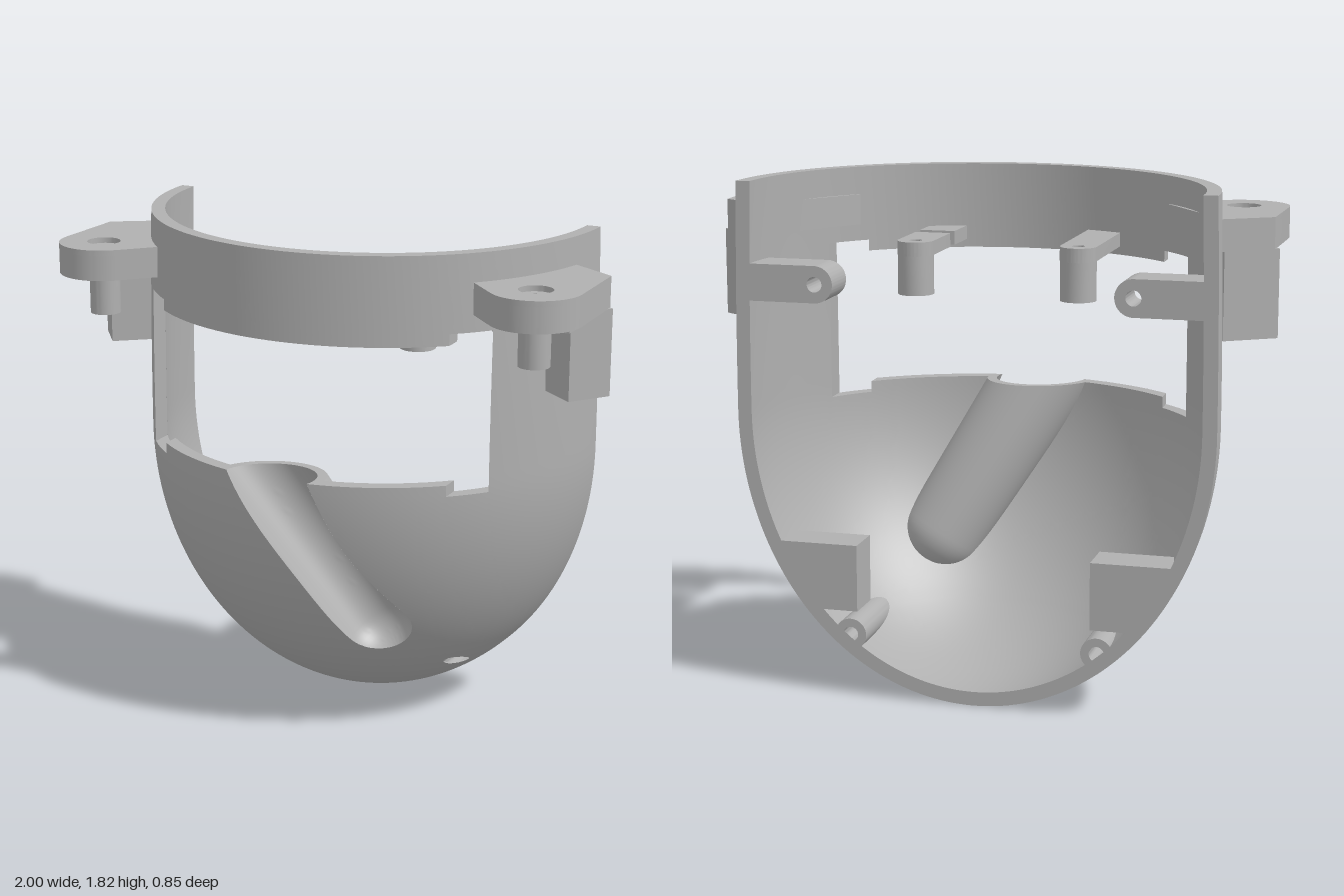
import * as THREE from 'three';
import { toCreasedNormals } from 'three/addons/utils/BufferGeometryUtils.js';

const V = (x, y, z) => new THREE.Vector3(x, y, z);
const BACK = -0.43, MID = 1.02, TOP = 1.82, WALL = 0.05;
const grey = new THREE.MeshStandardMaterial({ color: 0xb0b0b0, side: THREE.DoubleSide });
grey.name = 'plain grey';

// ---- triangle soup helpers ----
function surface(fn, nu, nv, flip = false) {
  const tris = [];
  for (let i = 0; i < nu; i++) for (let j = 0; j < nv; j++) {
    const p = (a, b) => fn((i + a) / nu, (j + b) / nv);
    const a = p(0, 0), b = p(1, 0), c = p(1, 1), d = p(0, 1);
    tris.push(...(flip ? [[a, c, b], [a, d, c]] : [[a, b, c], [a, c, d]]));
  }
  return tris;
}

// keep the side where f >= 0
function clip(tris, f) {
  const out = [];
  for (const t of tris) {
    const s = t.map(f), poly = [];
    for (let i = 0; i < 3; i++) {
      const k = (i + 1) % 3;
      if (s[i] >= 0) poly.push(t[i]);
      if ((s[i] >= 0) !== (s[k] >= 0)) poly.push(t[i].clone().lerp(t[k], s[i] / (s[i] - s[k])));
    }
    for (let i = 2; i < poly.length; i++) out.push([poly[0], poly[i - 1], poly[i]]);
  }
  return out;
}

// remove the convex region where every f < 0
function cut(tris, fs) {
  const kept = [];
  for (const f of fs) {
    for (const t of clip(tris, f)) kept.push(t);
    tris = clip(tris, p => -f(p));
  }
  return kept;
}

function soupMesh(name, tris) {
  const pos = [];
  for (const [a, b, c] of tris) {
    if (b.clone().sub(a).cross(c.clone().sub(a)).length() < 1e-9) continue;
    for (const p of [a, b, c]) pos.push(p.x, p.y, p.z);
  }
  const g = new THREE.BufferGeometry();
  g.setAttribute('position', new THREE.Float32BufferAttribute(pos, 3));
  return solid(name, g);
}

function solid(name, geometry) {
  const m = new THREE.Mesh(toCreasedNormals(geometry, 0.6), grey);
  m.name = name;
  return m;
}

// ---- plates extruded along y (shape in x,z) or along z (shape in x,y) ----
const extrude = (shape, depth, steps = 1) =>
  new THREE.ExtrudeGeometry(shape, { depth, steps, bevelEnabled: false, curveSegments: 20 });
const slab = (name, shape, y0, y1) =>
  solid(name, extrude(shape, y1 - y0).rotateX(Math.PI / 2).translate(0, y1, 0));
const polygon = pts => new THREE.Shape(pts.map(p => new THREE.Vector2(...p)));
function drill(shape, x, y, r) {
  shape.holes.push(new THREE.Path().absarc(x, y, r, 0, Math.PI * 2, true));
  return shape;
}
const ring = (x, y, r, hole) => drill(new THREE.Shape().absarc(x, y, r, 0, Math.PI * 2), x, y, hole);

// ---- shell profile: half ellipsoid below, nearly straight wall above ----
const taper = y => 0.012 * ((y - MID) / 0.8) ** 2;
function radius(y, t) {
  if (y >= MID) return 0.85 - t - taper(y);
  return (0.85 - t) * Math.sqrt(Math.max(0, 1 - ((MID - y) / (MID - t)) ** 2));
}
function profile(v, t) {
  if (v < 0.6) {
    const a = v / 0.6 * Math.PI / 2;
    return [(0.85 - t) * Math.sin(a), MID - (MID - t) * Math.cos(a)];
  }
  const y = MID + (v - 0.6) / 0.4 * (TOP - MID);
  return [radius(y, t), y];
}
const insideShell = t => p => radius(p.y, t) - Math.hypot(p.x, p.z - BACK);
const wallZ = (x, y, t) => BACK + Math.sqrt(Math.max(0, radius(y, t) ** 2 - x * x));

// ---- slanted round-ended groove ----
const A = V(-0.144, 1.2, 0.455), B = V(0.29, 0.45, 0.2);
const AXIS = B.clone().sub(A), LEN = AXIS.length(), DIR = AXIS.clone().normalize();
const E1 = V(0, 0, 1).cross(DIR).normalize(), E2 = DIR.clone().cross(E1);
const grooveR = (s, w) => 0.15 - 0.03 * s + w;
const outsideGroove = w => p => {
  const s = THREE.MathUtils.clamp(p.clone().sub(A).dot(DIR) / LEN, 0, 1);
  return p.distanceTo(A.clone().addScaledVector(AXIS, s)) - grooveR(s, w);
};
const grooveSurface = (w, flip) => surface((u, v) => {
  const s = Math.min(v / 0.75, 1), e = Math.max(0, (v - 0.75) / 0.25) * Math.PI / 2;
  const r = grooveR(s, w), a = u * Math.PI * 2;
  return A.clone().addScaledVector(AXIS, s).addScaledVector(DIR, r * Math.sin(e))
    .addScaledVector(E1, r * Math.cos(e) * Math.cos(a)).addScaledVector(E2, r * Math.cos(e) * Math.sin(a));
}, 64, 48, flip);

// ---- openings through the shell ----
const box = (x0, x1, y0, y1) => [p => x0 - p.x, p => p.x - x1, p => y0 - p.y, p => p.y - y1];
const roundHole = (x, y, r) => Array.from({ length: 16 }, (_, i) => {
  const c = Math.cos(i * Math.PI / 8), s = Math.sin(i * Math.PI / 8);
  return p => (p.x - x) * c + (p.y - y) * s - r;
});
const OPENINGS = [box(-0.55, 0.55, 1.02, 1.51), box(0.55, 0.66, 0.98, 1.55), box(-0.66, -0.55, 0.98, 1.55),
  roundHole(0.445, 0.225, 0.027), roundHole(-0.445, 0.225, 0.027)];

function shellSkin(t, w, flip) {
  let tris = surface((u, v) => {
    const [r, y] = profile(v, t), a = u * Math.PI;
    return V(r * Math.cos(a), y, BACK + r * Math.sin(a));
  }, 96, 80, flip);
  for (const o of OPENINGS) tris = cut(tris, o);
  return clip(tris, outsideGroove(w));
}

function buildShell() {
  const g = new THREE.Group();
  g.name = 'shell';
  g.add(soupMesh('outerSkin', shellSkin(0, 0, true)), soupMesh('innerSkin', shellSkin(WALL, 0.03, false)));
  // top rim and back rims
  g.add(soupMesh('topRim', surface((u, v) => {
    const r = radius(TOP, v * WALL), a = u * Math.PI;
    return V(r * Math.cos(a), TOP, BACK + r * Math.sin(a));
  }, 96, 1, true)));
  g.add(soupMesh('backRim', [1, -1].flatMap(s => surface((u, v) => {
    const [r, y] = profile(u, v * WALL);
    return V(s * r, y, BACK);
  }, 80, 1, s > 0))));
  // thickness of the window edge
  const path = [[-0.66, 0.98], [-0.55, 0.98], [-0.55, 1.02], [0.55, 1.02], [0.55, 0.98], [0.66, 0.98],
    [0.66, 1.55], [0.55, 1.55], [0.55, 1.51], [-0.55, 1.51], [-0.55, 1.55], [-0.66, 1.55]];
  const edge = path.flatMap(([x0, y0], i) => {
    const [x1, y1] = path[(i + 1) % path.length];
    return surface((u, v) => {
      const x = x0 + (x1 - x0) * u, y = y0 + (y1 - y0) * u;
      return V(x, y, wallZ(x, y, v * WALL));
    }, 32, 1);
  });
  g.add(soupMesh('windowEdge', clip(edge, outsideGroove(0.03))));
  // groove trough, its back wall and its top lip
  const below = p => MID - p.y;
  g.add(soupMesh('grooveInside', clip(clip(grooveSurface(0, true), below), insideShell(0))));
  g.add(soupMesh('grooveBack', clip(clip(grooveSurface(0.03, false), below), insideShell(WALL))));
  let lip = surface((u, v) => V(-0.32 + 0.6 * u, MID, 0.1 + 0.34 * v), 50, 30, true);
  lip = clip(clip(lip, outsideGroove(0)), p => -outsideGroove(0.03)(p));
  g.add(soupMesh('grooveLip', clip(lip, insideShell(0))));
  return g;
}

// ---- everything fixed to one side of the shell ----
function buildSide(name, armSplit) {
  const g = new THREE.Group();
  g.name = name;
  // ear bracket with counterbored hole, hanging post and block
  const ear = () => {
    const s = new THREE.Shape().moveTo(0.82, -0.25).lineTo(0.985, -0.145).lineTo(0.99, 0.15);
    return s.absarc(0.83, 0.15, 0.16, 0, 2.36).lineTo(0.57, 0.11).lineTo(0.77, -0.17);
  };
  g.add(slab('earPlate', drill(ear(), 0.83, 0.15, 0.025), 1.61, 1.7));
  g.add(slab('earTop', drill(ear(), 0.83, 0.15, 0.06), 1.7, 1.72));
  g.add(slab('earPost', ring(0.83, 0.15, 0.055, 0.025), 1.46, 1.61));
  g.add(slab('earBlock', polygon([[1, -0.13], [0.9, 0], [0.76, -0.11], [0.83, -0.24]]), 1.305, 1.612));
  g.add(slab('earNub', polygon([[0.885, 0.02], [0.925, 0.02], [0.925, 0.08], [0.885, 0.08]]), 1.565, 1.61));
  // pivot lug on the back edge
  const lug = new THREE.Shape().moveTo(0.815, 1.535).lineTo(0.56, 1.535);
  lug.absarc(0.56, 1.47, 0.065, Math.PI / 2, Math.PI * 1.5).lineTo(0.815, 1.405);
  g.add(solid('pivotLug', extrude(drill(lug, 0.56, 1.47, 0.027), 0.15).translate(0, 0, BACK)));
  // lower stop block and screw boss
  g.add(solid('stopBlock', extrude(polygon([[0.42, 0.31], [0.58, 0.31], [0.65, 0.43], [0.7, 0.55], [0.42, 0.55]]),
    0.15).translate(0, 0, BACK)));
  const boss = extrude(ring(0.445, 0.225, 0.057, 0.027), 0.33, 24).translate(0, 0, BACK).toNonIndexed?.call
    ? extrude(ring(0.445, 0.225, 0.057, 0.027), 0.33, 24).translate(0, 0, BACK) : null;
  const flat = boss.index ? boss.toNonIndexed() : boss, at = flat.getAttribute('position'), tris = [];
  for (let i = 0; i < at.count; i += 3)
    tris.push([0, 1, 2].map(k => new THREE.Vector3().fromBufferAttribute(at, i + k)));
  g.add(soupMesh('screwBoss', clip(tris, insideShell(0.004))));
  // inner arm with hanging pin
  const arm = new THREE.Shape().moveTo(0.36, -0.1).lineTo(0.36, armSplit ? 0.11 : 0.33);
  arm.lineTo(0.23, armSplit ? 0.11 : 0.33).lineTo(0.23, -0.1).absarc(0.295, -0.1, 0.065, Math.PI, Math.PI * 2);
  g.add(slab('innerArm', drill(arm, 0.295, -0.1, 0.022), 1.54, 1.59));
  if (armSplit)
    g.add(slab('armRoot', polygon([[0.23, 0.165], [0.36, 0.165], [0.36, 0.33], [0.23, 0.33]]), 1.54, 1.59));
  g.add(slab('armPin', ring(0.295, -0.1, 0.064, 0.022), 1.4, 1.541));
  return g;
}

export function createModel() {
  const model = new THREE.Group();
  model.name = 'halfShellHousing';
  const left = buildSide('leftFittings', true), right = buildSide('rightFittings', false);
  right.scale.x = -1;
  model.add(buildShell(), left, right);
  return model;
}
